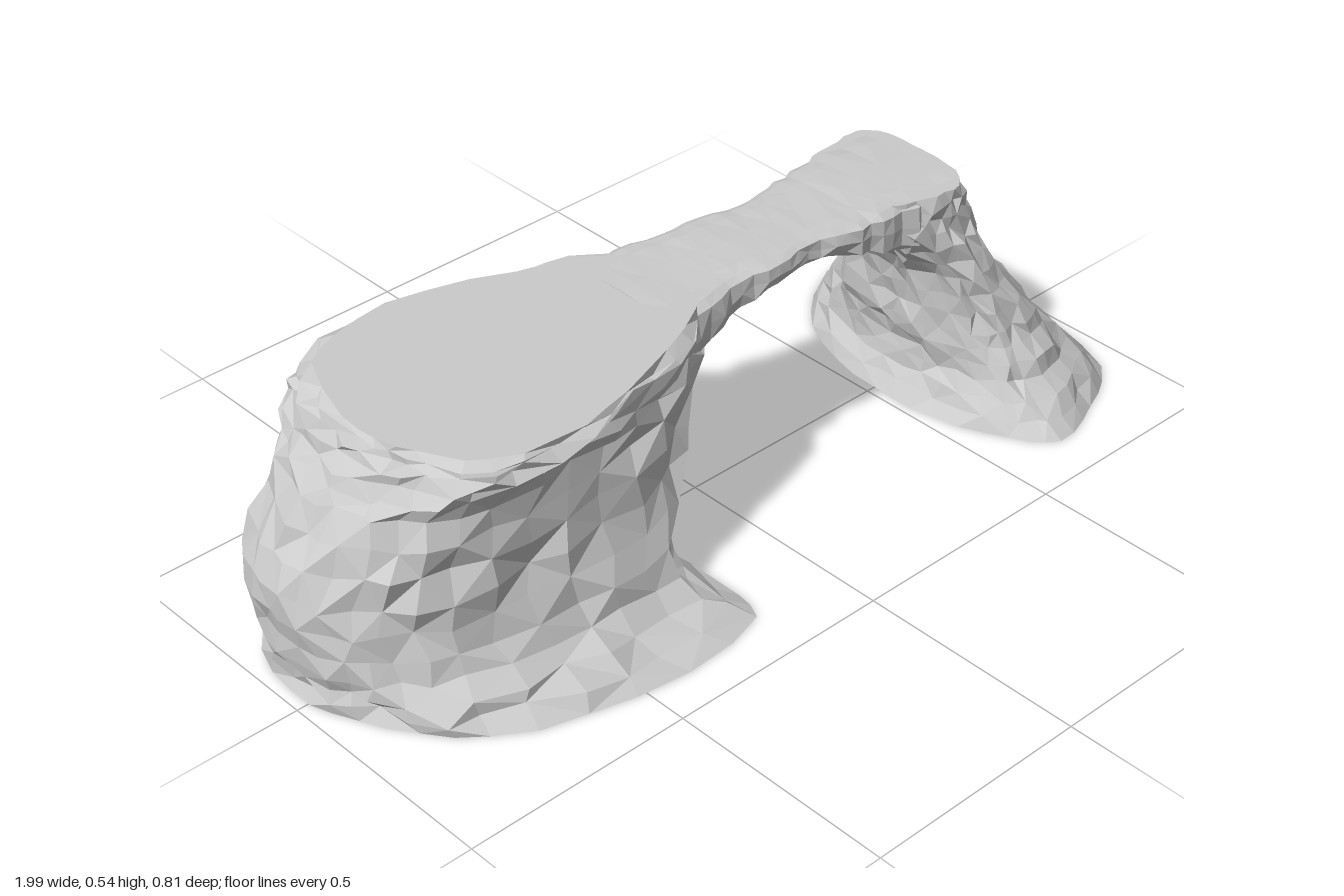
import * as THREE from 'three';

const material = new THREE.MeshStandardMaterial({ color: 0xcccccc, flatShading: true });

// Seeded noise in -1..1 for the craggy surface
let seed = 7;
function noise() {
  seed = (seed * 16807) % 2147483647;
  return (seed / 2147483647) * 2 - 1;
}

// Skin a list of closed rings and cap both ends
function loft(rings, name) {
  const n = rings[0].length, pos = [], index = [];
  rings.forEach((r) => r.forEach((p) => pos.push(p.x, p.y, p.z)));
  for (let i = 0; i < rings.length - 1; i++) {
    for (let j = 0; j < n; j++) {
      const a = i * n + j, b = i * n + (j + 1) % n, c = a + n, d = b + n;
      if ((i + j) % 2) index.push(a, b, c, b, d, c);
      else index.push(a, b, d, a, d, c);
    }
  }
  [0, rings.length - 1].forEach((i) => {
    const mid = new THREE.Vector3();
    rings[i].forEach((p) => mid.addScaledVector(p, 1 / n));
    const m = pos.length / 3;
    pos.push(mid.x, mid.y, mid.z);
    for (let j = 0; j < n; j++) {
      const a = i * n + j, b = i * n + (j + 1) % n;
      if (i) index.push(m, a, b); else index.push(m, b, a);
    }
  });
  const geo = new THREE.BufferGeometry();
  geo.setAttribute('position', new THREE.Float32BufferAttribute(pos, 3));
  geo.setIndex(index);
  geo.computeVertexNormals();
  const mesh = new THREE.Mesh(geo, material);
  mesh.name = name;
  return mesh;
}

// Rock pier from horizontal outlines: [height, [x, z] points from the left, round the front]
function pier(levels, name, rough) {
  const columns = levels[0][1].map((_, j) => new THREE.CatmullRomCurve3(
    levels.map(([y, pts]) => new THREE.Vector3(pts[j][0], y, pts[j][1])), false, 'centripetal'));
  const steps = (levels.length - 1) * 3, rings = [];
  for (let i = 0; i <= steps; i++) {
    const outline = new THREE.CatmullRomCurve3(columns.map((c) => c.getPoint(i / steps)), true, 'centripetal');
    const amp = i === 0 || i === steps ? rough * 0.3 : rough;
    const ring = [];
    for (let j = 0; j < 36; j++) {
      const p = outline.getPoint(j / 36);
      p.x += noise() * amp * 0.7;
      p.z += noise() * amp;
      if (i > 0 && i < steps) p.y += noise() * amp * 0.5;
      p.x = THREE.MathUtils.clamp(p.x, -1, 1);
      ring.push(p);
    }
    rings.push(ring);
  }
  return loft(rings, name);
}

// Thin span from cross-sections: [x, bottom, top, back z, front z]
function span(sections, name) {
  const low = new THREE.CatmullRomCurve3(sections.map((s) => new THREE.Vector3(s[0], s[1], s[3])));
  const high = new THREE.CatmullRomCurve3(sections.map((s) => new THREE.Vector3(s[0], s[2], s[4])));
  const rings = [], steps = 24;
  for (let i = 0; i <= steps; i++) {
    const a = low.getPoint(i / steps), b = high.getPoint(i / steps), ring = [];
    const wobble = noise() * 0.008;
    for (let j = 0; j < 16; j++) {
      const t = (j / 16) * Math.PI * 2, c = Math.cos(t), s = Math.sin(t);
      const u = Math.sign(c) * Math.abs(c) ** 0.55, v = Math.sign(s) * Math.abs(s) ** 0.4;
      const rough = s > 0.2 ? 0.001 : 0.006;
      ring.push(new THREE.Vector3(
        a.x,
        (a.y + b.y) / 2 + v * (b.y - a.y) / 2 + noise() * rough,
        (a.z + b.z) / 2 - u * ((b.z - a.z) / 2 + wobble) + noise() * rough));
    }
    rings.push(ring);
  }
  return loft(rings, name);
}

export function createModel() {
  const group = new THREE.Group();
  group.name = 'rockArch';

  // Broad pier with a flared foot and an overhanging flat top
  group.add(pier([
    [0.005, [[-0.97, 0], [-0.91, 0.15], [-0.79, 0.3], [-0.52, 0.4], [-0.2, 0.38], [-0.18, 0.26],
      [-0.21, 0.05], [-0.24, -0.2], [-0.3, -0.38], [-0.55, -0.33], [-0.8, -0.27], [-0.95, -0.17]]],
    [0.09, [[-0.97, 0], [-0.92, 0.12], [-0.78, 0.23], [-0.52, 0.28], [-0.3, 0.26], [-0.24, 0.16],
      [-0.23, 0], [-0.27, -0.19], [-0.34, -0.31], [-0.55, -0.31], [-0.8, -0.27], [-0.95, -0.17]]],
    [0.25, [[-1, -0.04], [-0.93, 0.1], [-0.78, 0.19], [-0.52, 0.21], [-0.25, 0.18], [-0.13, 0.11],
      [-0.1, 0], [-0.15, -0.14], [-0.31, -0.28], [-0.55, -0.3], [-0.82, -0.26], [-0.97, -0.17]]],
    [0.42, [[-0.9, -0.02], [-0.86, 0.1], [-0.75, 0.19], [-0.5, 0.21], [-0.25, 0.17], [-0.08, 0.1],
      [-0.03, 0], [-0.07, -0.14], [-0.27, -0.26], [-0.53, -0.3], [-0.77, -0.27], [-0.87, -0.17]]],
    [0.5, [[-0.85, -0.02], [-0.81, 0.11], [-0.71, 0.22], [-0.5, 0.25], [-0.28, 0.2], [-0.1, 0.12],
      [0, 0], [-0.08, -0.16], [-0.26, -0.26], [-0.52, -0.32], [-0.74, -0.28], [-0.82, -0.18]]],
    [0.53, [[-0.8, -0.02], [-0.77, 0.1], [-0.69, 0.21], [-0.5, 0.245], [-0.3, 0.19], [-0.1, 0.11],
      [0, 0], [-0.1, -0.16], [-0.26, -0.23], [-0.51, -0.31], [-0.7, -0.27], [-0.77, -0.17]]],
  ], 'broadPier', 0.018));

  // Slender pier leaning in from a wide foot
  group.add(pier([
    [0.005, [[0.52, 0], [0.53, 0.16], [0.59, 0.32], [0.66, 0.4], [0.8, 0.36], [0.93, 0.28],
      [0.99, 0], [0.97, -0.15], [0.94, -0.34], [0.88, -0.4], [0.68, -0.34], [0.56, -0.2]]],
    [0.1, [[0.56, 0], [0.57, 0.13], [0.61, 0.25], [0.67, 0.29], [0.78, 0.29], [0.87, 0.2],
      [0.92, 0], [0.9, -0.15], [0.86, -0.29], [0.78, -0.32], [0.66, -0.27], [0.59, -0.15]]],
    [0.2, [[0.54, 0], [0.55, 0.1], [0.6, 0.2], [0.66, 0.23], [0.74, 0.23], [0.8, 0.15],
      [0.84, 0], [0.82, -0.14], [0.79, -0.22], [0.73, -0.25], [0.64, -0.21], [0.56, -0.13]]],
    [0.33, [[0.52, 0], [0.53, 0.08], [0.56, 0.15], [0.6, 0.18], [0.66, 0.18], [0.71, 0.12],
      [0.74, 0], [0.73, -0.1], [0.7, -0.18], [0.65, -0.2], [0.58, -0.17], [0.54, -0.1]]],
    [0.45, [[0.42, 0], [0.43, 0.09], [0.48, 0.13], [0.55, 0.15], [0.62, 0.15], [0.67, 0.1],
      [0.69, 0], [0.69, -0.1], [0.65, -0.16], [0.58, -0.17], [0.49, -0.15], [0.43, -0.1]]],
    [0.535, [[0.38, 0], [0.4, 0.08], [0.46, 0.12], [0.53, 0.14], [0.59, 0.14], [0.63, 0.1],
      [0.64, 0], [0.64, -0.1], [0.6, -0.15], [0.54, -0.15], [0.46, -0.14], [0.4, -0.1]]],
  ], 'slenderPier', 0.012));

  // Natural bridge between the piers
  group.add(span([
    [-0.16, 0.36, 0.532, -0.19, 0.13],
    [-0.02, 0.43, 0.534, -0.17, 0.1],
    [0.1, 0.47, 0.538, -0.14, 0.1],
    [0.22, 0.48, 0.538, -0.12, 0.1],
    [0.34, 0.46, 0.54, -0.13, 0.12],
    [0.45, 0.42, 0.543, -0.15, 0.13],
    [0.6, 0.42, 0.543, -0.16, 0.15],
  ], 'bridge'));

  return group;
}
